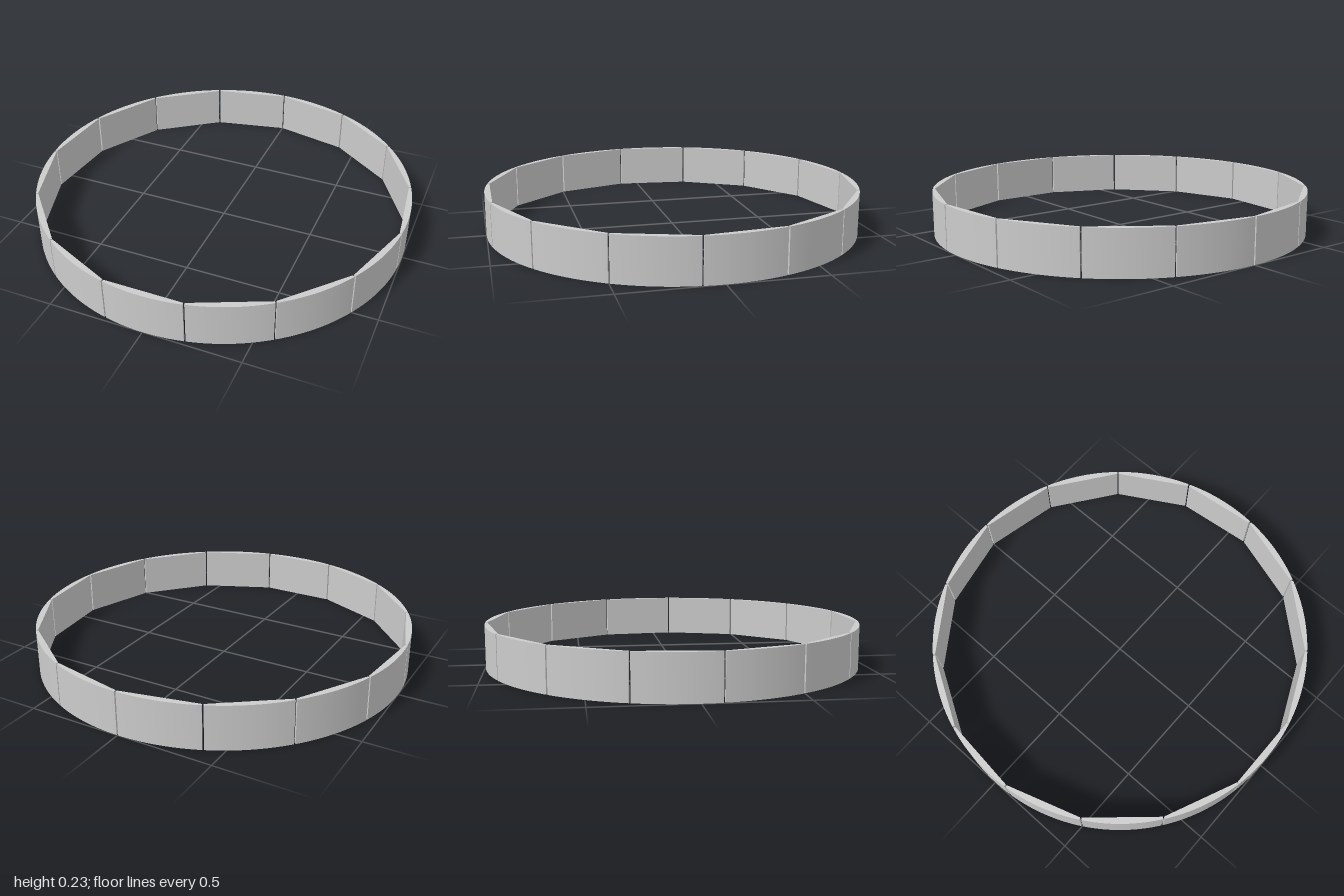
import * as THREE from 'three';
import { toCreasedNormals } from 'three/addons/utils/BufferGeometryUtils.js';

const COUNT = 15;        // plates around the ring
const RADIUS = 1;        // curved outer face
const CHORD = 0.967;     // distance of the flat inner face from the centre
const HEIGHT = 0.23;
const GAP = 0.008;       // slit between neighbouring plates

export function createModel() {
  const group = new THREE.Group();
  group.name = 'segmentedRing';
  const material = new THREE.MeshStandardMaterial({ color: 0xcccccc });

  // Plate outline: curved outside, flat inside, short radial ends
  const half = Math.PI / COUNT - GAP / 2;
  const mid = Math.PI / 2;
  const innerX = CHORD * Math.tan(half);
  const outline = new THREE.Shape();
  outline.moveTo(-innerX, CHORD);
  outline.lineTo(innerX, CHORD);
  outline.absarc(0, 0, RADIUS, mid - half, mid + half, false);
  outline.closePath();

  // Lay the plate flat, standing on the ground with its middle at +z
  const extruded = new THREE.ExtrudeGeometry(outline, {
    depth: HEIGHT, bevelEnabled: false, curveSegments: 16,
  });
  extruded.rotateX(Math.PI / 2).translate(0, HEIGHT, 0);
  const geometry = toCreasedNormals(extruded, 0.3);

  // Repeat the plate around the ring
  for (let i = 0; i < COUNT; i++) {
    const plate = new THREE.Mesh(geometry, material);
    plate.name = `ringPlate${i + 1}`;
    plate.rotation.y = (i / COUNT) * Math.PI * 2;
    group.add(plate);
  }
  return group;
}
